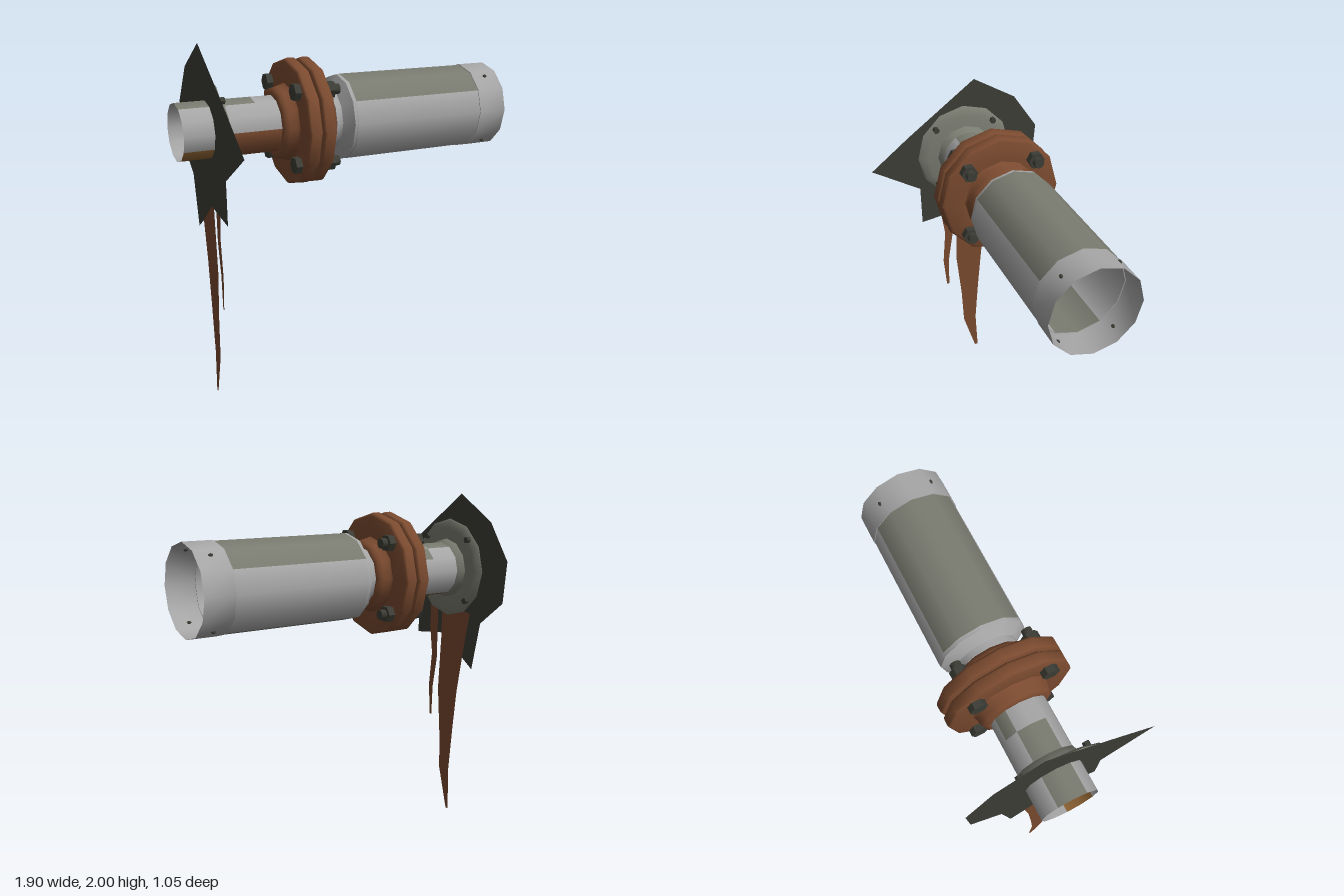
import * as THREE from 'three';
import { toCreasedNormals } from 'three/addons/utils/BufferGeometryUtils.js';

const AXIS_Y = 1.56, AXIS_Z = -0.05, SIDES = 12;
const DEG = Math.PI / 180;

function paint(name, color) {
  const m = new THREE.MeshStandardMaterial({ color, side: THREE.DoubleSide });
  m.name = name;
  return m;
}

export function createModel() {
  const steel = paint('steel', 0xa6a6a6);
  const weathered = paint('weathered grey', 0x7a7b70);
  const soot = paint('dark soot', 0x3d3d36);
  const rust = paint('rust', 0x7a4a2f);
  const ochre = paint('ochre rust', 0x8a6032);

  const model = new THREE.Group();
  const assembly = new THREE.Group();
  assembly.name = 'pipeAssembly';
  assembly.position.set(0, AXIS_Y, AXIS_Z);
  model.add(assembly);

  function add(name, geometry, material, parent = assembly) {
    const mesh = new THREE.Mesh(geometry, material);
    mesh.name = name;
    parent.add(mesh);
    return mesh;
  }

  // Revolve [x, radius] points about the x axis; angles run from +z (0) up to +y (90)
  function turned(name, points, material, from = 0, to = 360) {
    const profile = points.map(([x, r]) => new THREE.Vector2(r, x));
    const segments = Math.round((to - from) / 360 * SIDES);
    let g = new THREE.LatheGeometry(profile, segments, -to * DEG, (to - from) * DEG);
    g.rotateZ(-Math.PI / 2);
    if (points.length > 2) g = toCreasedNormals(g, 0.75);
    return add(name, g, material);
  }

  // Cylinder lying along x, at polar position (angle, radius)
  function stud(name, x0, x1, r, sides, angle, dist, material) {
    const g = new THREE.CylinderGeometry(r, r, x1 - x0, sides).rotateZ(Math.PI / 2);
    const m = add(name, toCreasedNormals(g, 0.9), material);
    m.position.set((x0 + x1) / 2, dist * Math.sin(angle * DEG), dist * Math.cos(angle * DEG));
  }

  // Narrow pipe, split into clean and stained faces
  const R1 = 0.155;
  [
    [-0.95, -0.78, 60, 120, weathered],
    [-0.95, -0.78, 120, 270, steel],
    [-0.95, -0.78, 270, 330, ochre],
    [-0.95, -0.78, 330, 420, steel],
    [-0.78, -0.54, 60, 120, weathered],
    [-0.78, -0.54, 120, 240, steel],
    [-0.54, -0.42, 60, 120, steel],
    [-0.54, -0.42, 120, 150, weathered],
    [-0.54, -0.42, 150, 240, steel],
    [-0.78, -0.71, 240, 420, steel],
    [-0.71, -0.42, 240, 360, rust],
    [-0.71, -0.42, 0, 60, steel],
    [-0.42, -0.11, 0, 360, steel],
  ].forEach(([x0, x1, a, b, m]) => turned('narrowPipe', [[x0, R1], [x1, R1]], m, a, b));

  // Reducer and wide pipe with weathered panels
  const R2 = 0.242;
  turned('reducer', [[-0.11, R1], [-0.105, 0.17], [-0.07, 0.17], [-0.03, 0.24], [-0.01, R2]], steel);
  [
    [30, 150, weathered],
    [150, 240, steel],
    [240, 300, weathered],
    [300, 390, steel],
  ].forEach(([a, b, m]) => turned('widePipe', [[-0.01, R2], [0.78, R2]], m, a, b));
  turned('endSleeve', [[0.78, R2], [0.78, 0.246], [0.95, 0.246]], steel);

  // Sleeve rivets
  for (const a of [52, 128, 232, 308]) {
    const g = new THREE.SphereGeometry(0.013, 8, 6).scale(1, 0.7, 0.7);
    add('sleeveRivet', g, soot).position.set(0.865, 0.24 * Math.sin(a * DEG), 0.24 * Math.cos(a * DEG));
  }

  // Pair of rusty flanges, mirrored about the joint
  const joint = -0.264;
  for (const s of [-1, 1]) {
    const points = [
      [0.004, R1], [0.004, 0.33], [0.012, 0.343], [0.024, 0.347], [0.058, 0.347], [0.07, 0.343],
      [0.078, 0.33], [0.078, 0.215], [0.09, 0.205], [0.125, 0.2], [0.145, 0.19], [0.156, 0.17], [0.156, R1],
    ].map(([x, r]) => [joint + s * x, r]);
    turned('flange', s < 0 ? points.reverse() : points, rust);
  }
  turned('gasket', [[joint - 0.006, 0.31], [joint + 0.006, 0.31]], rust);

  // Flange bolts with hex heads and nuts
  for (const a of [45, 135, 225, 315]) {
    stud('boltHead', -0.378, -0.342, 0.047, 6, a, 0.276, soot);
    stud('boltNut', -0.186, -0.146, 0.047, 6, a, 0.276, soot);
    stud('boltShank', -0.34, -0.112, 0.028, 8, a, 0.276, soot);
  }

  // Wall plate with collar and screws
  turned('wallPlate', [
    [-0.78, R1], [-0.782, 0.285], [-0.775, 0.292], [-0.765, 0.28], [-0.755, 0.24],
    [-0.748, 0.175], [-0.71, 0.16], [-0.705, R1],
  ], weathered);
  for (const a of [45, 135, 225, 315]) stud('wallScrew', -0.765, -0.74, 0.019, 6, a, 0.277 * 0.95 - 0.01, soot);

  // Flat shape standing across the pipe axis, outlined by [z, y]
  function sheet(name, x, outline, material) {
    const shape = new THREE.Shape(outline.map(([z, y]) => new THREE.Vector2(-z, y)));
    add(name, new THREE.ShapeGeometry(shape).rotateY(Math.PI / 2), material, model).position.x = x;
  }

  // Jagged sooty patch behind the wall plate
  sheet('wallPatch', -0.787, [
    [0.527, 1.528], [0.287, 1.708], [-0.128, 2], [-0.383, 1.85], [-0.527, 1.64], [-0.505, 1.4],
    [-0.33, 1.257], [-0.27, 0.966], [-0.18, 1.024], [-0.02, 1.15], [0.24, 1.114], [0.24, 1.353],
  ], soot);

  // Rust streaks running down the wall
  sheet('longStreak', -0.784, [
    [0.01, 1.35], [0.01, 1.13], [0.027, 0.785], [0, 0.49], [-0.01, 0.255], [-0.085, 0], [-0.106, 0],
    [-0.096, 0.255], [-0.122, 0.545], [-0.149, 0.8], [-0.2, 1.1], [-0.24, 1.3],
  ], rust);
  sheet('shortStreak', -0.784, [
    [0.12, 1.35], [0.117, 1.15], [0.096, 1], [0.117, 0.785], [0.101, 0.594], [0.085, 0.594],
    [0.08, 0.785], [0.048, 0.97], [0.048, 1.35],
  ], rust);

  return model;
}
